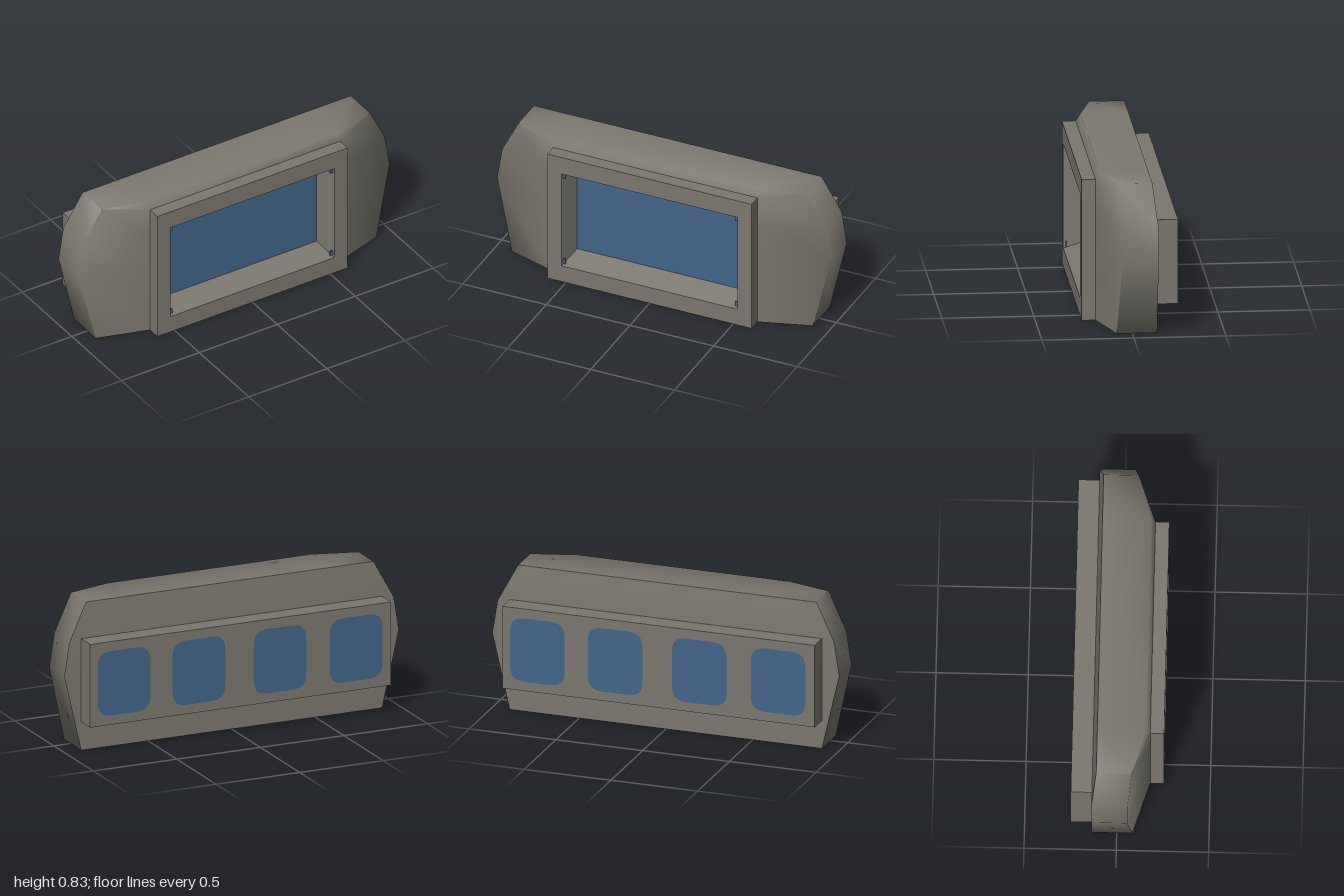
import * as THREE from 'three';
import { toCreasedNormals } from 'three/addons/utils/BufferGeometryUtils.js';

// Skin a stack of closed rings (each counter-clockwise from the front), skipping empty triangles
function loft(rings, crease) {
  const pos = [];
  const tri = (a, b, c) => {
    const area = new THREE.Triangle(
      new THREE.Vector3(...a), new THREE.Vector3(...b), new THREE.Vector3(...c)).getArea();
    if (area > 1e-6) pos.push(...a, ...b, ...c);
  };
  for (let r = 0; r < rings.length - 1; r++) {
    const a = rings[r], b = rings[r + 1], n = a.length;
    for (let i = 0; i < n; i++) {
      const j = (i + 1) % n;
      tri(a[i], a[j], b[j]);
      tri(a[i], b[j], b[i]);
    }
  }
  const geo = new THREE.BufferGeometry();
  geo.setAttribute('position', new THREE.Float32BufferAttribute(pos, 3));
  return toCreasedNormals(geo, crease);
}

const rect = (hw, y0, y1, z) => [[-hw, y0, z], [hw, y0, z], [hw, y1, z], [-hw, y1, z]];

function roundedRect(w, h, r) {
  const s = new THREE.Shape(), x = w / 2, y = h / 2;
  s.moveTo(-x + r, -y);
  s.lineTo(x - r, -y); s.quadraticCurveTo(x, -y, x, -y + r);
  s.lineTo(x, y - r); s.quadraticCurveTo(x, y, x - r, y);
  s.lineTo(-x + r, y); s.quadraticCurveTo(-x, y, -x, y - r);
  s.lineTo(-x, -y + r); s.quadraticCurveTo(-x, -y, -x + r, -y);
  return s;
}

export function createModel() {
  const group = new THREE.Group();
  const grey = new THREE.MeshStandardMaterial({ color: 0x7a776e });
  grey.name = 'warm grey shell';
  const blue = new THREE.MeshStandardMaterial({ color: 0x426488 });
  blue.name = 'blue glass';
  const add = (name, geo, mat, x = 0, y = 0, z = 0) => {
    const m = new THREE.Mesh(geo, mat);
    m.name = name;
    m.position.set(x, y, z);
    group.add(m);
    return m;
  };

  // Hull: one half outline as [x, y, front z], mirrored
  const half = [
    [0.61, 0, 0.175], [0.9, 0, 0.085], [1, 0.43, 0.06],
    [0.97, 0.62, 0.06], [0.86, 0.83, 0.08], [0.61, 0.83, 0.15],
  ];
  const front = [...half, ...half.map(([x, y, z]) => [-x, y, z]).reverse()];
  const back = front.map(([x, y]) => [x, y, y > 0.63 ? -0.112 : -0.135]);
  const backInner = front.map(([x, y]) => [x, Math.min(y, 0.63), -0.135]);
  const backCentre = front.map(() => [0, 0.4, -0.135]);
  const frontInner = front.map(([x, y]) => [Math.sign(x) * 0.61, Math.min(y, 0.79), 0.175]);
  add('hull', loft([backCentre, backInner, back, front, frontInner], 1.4), grey);

  // Front frame with a recessed, slightly tapering opening
  add('frontFrame', loft([
    rect(0.61, 0, 0.79, 0.12),
    rect(0.61, 0, 0.79, 0.25),
    rect(0.525, 0.1, 0.685, 0.25),
    rect(0.49, 0.15, 0.65, 0.125),
  ], 0.6), grey);
  add('frontGlass', new THREE.PlaneGeometry(0.99, 0.51), blue, 0, 0.4, 0.126);

  // Small fixings in the corners of the opening
  for (const x of [-0.515, 0.515]) {
    for (const y of [0.125, 0.668]) {
      add('cornerFixing', new THREE.BoxGeometry(0.016, 0.03, 0.008), blue, x, y, 0.235);
    }
  }

  // Rear block with four rounded windows
  add('rearBlock', new THREE.BoxGeometry(1.8, 0.472, 0.13), grey, 0, 0.397, -0.184);
  const pane = new THREE.ShapeGeometry(roundedRect(0.315, 0.365, 0.08), 6);
  for (const x of [-0.69, -0.235, 0.25, 0.698]) {
    add('rearWindow', pane, blue, x, 0.397, -0.251).rotation.y = Math.PI;
  }

  // Narrow strip under the rear block
  add('underStrip', new THREE.BoxGeometry(0.9, 0.004, 0.04), blue, 0, 0.16, -0.165);

  return group;
}
